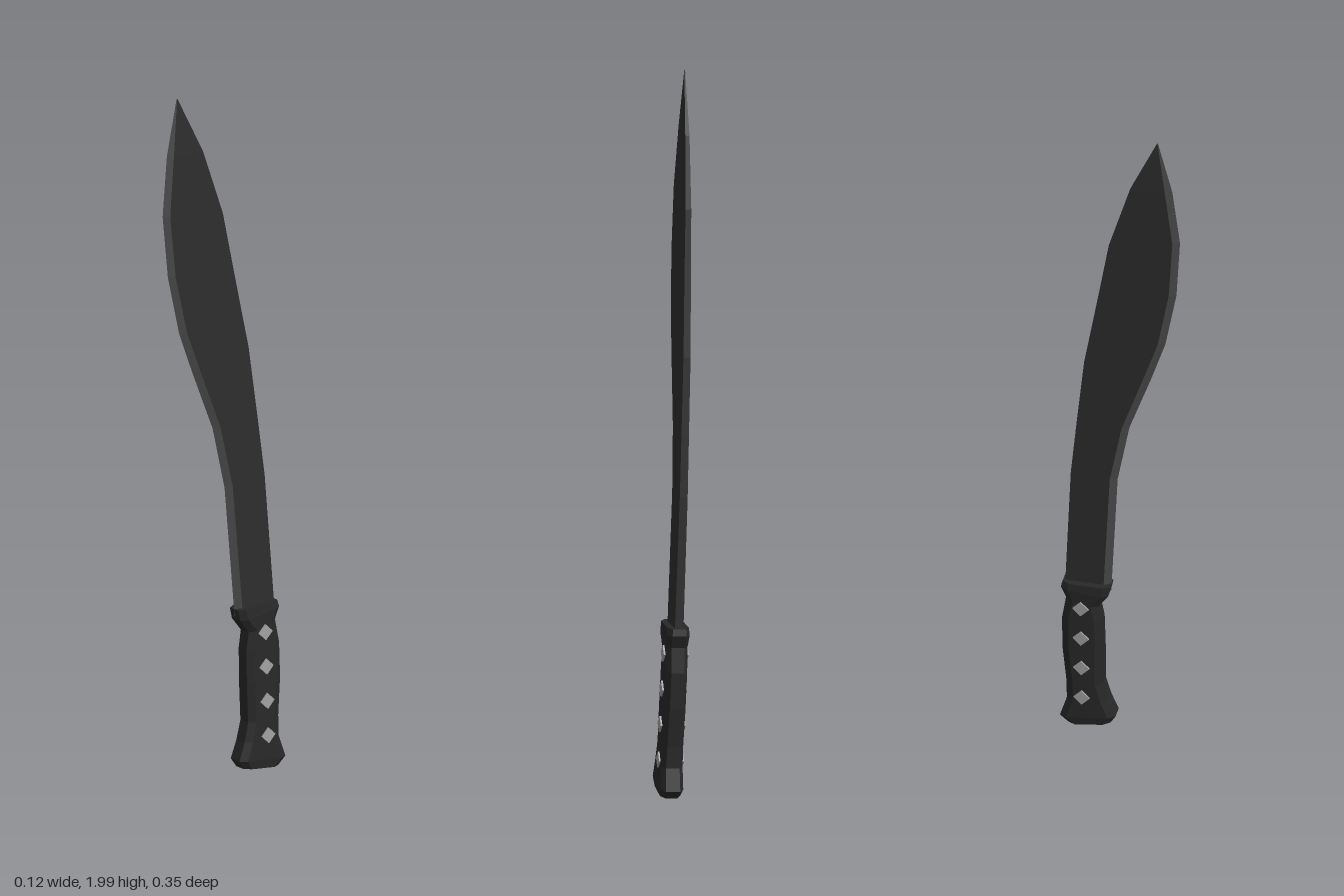
import * as THREE from 'three';

const material = (name, color) => {
  const m = new THREE.MeshStandardMaterial({ color, flatShading: true });
  m.name = name;
  return m;
};

// Joins rings of points (counterclockwise from above, bottom to top) along the chosen sides.
function loft(rings, sides, caps = false) {
  const out = [];
  const tri = (a, b, c) => out.push(...a, ...b, ...c);
  const n = rings[0].length;
  for (let i = 0; i < rings.length - 1; i++) {
    for (const j of sides) {
      const k = (j + 1) % n;
      const [a, b, c, d] = [rings[i][j], rings[i][k], rings[i + 1][k], rings[i + 1][j]];
      tri(a, b, c);
      tri(a, c, d);
    }
  }
  if (caps) {
    const low = rings[0], top = rings[rings.length - 1];
    for (let j = 1; j < n - 1; j++) {
      tri(low[0], low[j + 1], low[j]);
      tri(top[0], top[j], top[j + 1]);
    }
  }
  const g = new THREE.BufferGeometry();
  g.setAttribute('position', new THREE.Float32BufferAttribute(out, 3));
  g.computeVertexNormals();
  return g;
}

export function createModel() {
  const model = new THREE.Group();
  model.name = 'machete';
  const steel = material('dark steel', 0x2d2d2d);
  const ground = material('ground edge steel', 0x484848);
  const grip = material('black grip', 0x282828);
  const metal = material('rivet metal', 0xa0a0a0);

  const add = (name, geometry, mat) => {
    const mesh = new THREE.Mesh(geometry, mat);
    mesh.name = name;
    model.add(mesh);
    return mesh;
  };

  // Blade sections: spine z, spine y, edge z, edge y, half thickness
  const bladeRings = [
    [-0.155, 0.46, -0.027, 0.46, 0.012],
    [-0.135, 0.85, -0.005, 0.84, 0.011],
    [-0.117, 1.02, 0.03, 1.02, 0.0105],
    [-0.093, 1.234, 0.095, 1.2, 0.01],
    [-0.077, 1.32, 0.135, 1.32, 0.0095],
    [-0.046, 1.49, 0.168, 1.49, 0.009],
    [-0.02, 1.637, 0.18, 1.67, 0.008],
    [0.04, 1.83, 0.16, 1.84, 0.006],
    [0.119, 2.0, 0.121, 2.0, 0.001],
  ].map(([zs, ys, ze, ye, t]) => {
    const bevel = Math.min(0.02, (ze - zs) * 0.5);
    const zb = ze - bevel;
    const yb = ye + (ys - ye) * bevel / (ze - zs);
    return [[0, ye, ze], [t, yb, zb], [t, ys, zs], [-t, ys, zs], [-t, yb, zb]];
  });
  add('blade', loft(bladeRings, [1, 2, 3], false), steel);
  add('cuttingEdge', loft(bladeRings, [0, 4], false), ground);

  // Handle sections: front z, front y, back z, back y, half width
  const handleRings = [
    [-0.03, 0.02, -0.148, 0.004, 0.028],
    [-0.015, 0.045, -0.172, 0.028, 0.032],
    [-0.035, 0.095, -0.152, 0.09, 0.031],
    [-0.05, 0.15, -0.153, 0.15, 0.03],
    [-0.049, 0.26, -0.163, 0.26, 0.03],
    [-0.051, 0.36, -0.163, 0.36, 0.03],
    [-0.06, 0.41, -0.151, 0.43, 0.03],
    [-0.032, 0.45, -0.165, 0.465, 0.032],
    [-0.025, 0.482, -0.16, 0.484, 0.03],
  ].map(([zf, yf, zb, yb, h]) => {
    const c = 0.02, w = h - 0.012;
    const at = (x, z) => [x, yf + (yb - yf) * (zf - z) / (zf - zb), z];
    return [
      at(w, zf), at(h, zf - c), at(h, zb + c), at(w, zb),
      at(-w, zb), at(-h, zb + c), at(-h, zf - c), at(-w, zf),
    ];
  });
  add('handle', loft(handleRings, [0, 1, 2, 3, 4, 5, 6, 7], true), grip);

  // Four diamond rivets passing through the handle
  const rivet = new THREE.CylinderGeometry(0.023, 0.023, 0.07, 4);
  rivet.rotateZ(Math.PI / 2);
  for (let i = 0; i < 4; i++) {
    add('rivet', rivet, metal).position.set(0, 0.105 + i * 0.1, -0.107);
  }

  // The whole piece leans slightly to one side
  model.rotation.z = 0.0445;
  model.position.x = 0.026;
  return model;
}
